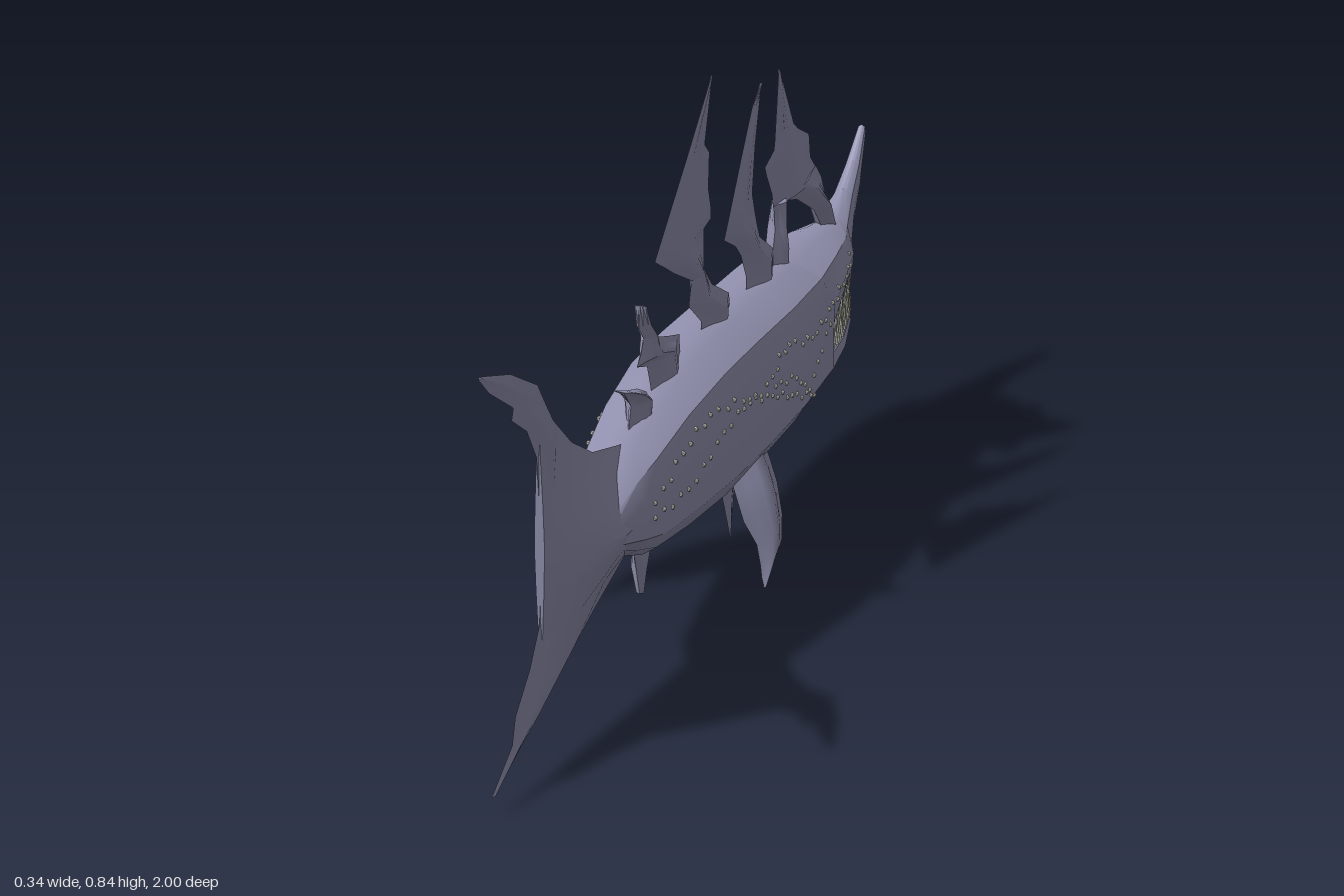
import * as THREE from 'three';
import { toCreasedNormals, mergeGeometries } from 'three/addons/utils/BufferGeometryUtils.js';

const skin = new THREE.MeshStandardMaterial({ color: 0x9090ae });
skin.name = 'blueGreySkin';
const bone = new THREE.MeshStandardMaterial({ color: 0xd8d8cc });
bone.name = 'ivoryBone';

// Half cross-sections, from top to bottom, as fractions of half width and half height
const ROUND = [[0, 1], [0.3, 0.97], [0.78, 0.8], [1, 0.4], [1, -0.5], [0.78, -0.78], [0.45, -0.95], [0, -1]];
const SNOUT = [[0, 1], [0.3, 0.93], [0.78, 0.565], [1, -0.3], [0.97, -1], [0, -1]];
const CHIN = [[0, 1], [0.96, 1], [1, 0.47], [0.78, -0.35], [0.45, -0.86], [0, -1]];
const BLADE = [[0, 1], [0.35, 0.6], [0.8, 0.25], [1, 0], [0.8, -0.25], [0.35, -0.6], [0, -1]];

// Stations: z, top, bottom, half width, running from tail to snout
const BODY = [
  [0.55, 0.305, 0.26, 0.04], [0.45, 0.355, 0.215, 0.064], [0.38, 0.375, 0.19, 0.075], [0.25, 0.41, 0.175, 0.09],
  [0.09, 0.43, 0.165, 0.103], [-0.07, 0.43, 0.16, 0.107], [-0.29, 0.42, 0.16, 0.107], [-0.47, 0.415, 0.165, 0.102],
];
const UPPER = [
  [-0.47, 0.415, 0.3, 0.102], [-0.6, 0.407, 0.335, 0.088], [-0.72, 0.4, 0.333, 0.066], [-0.8, 0.395, 0.333, 0.04],
  [-0.88, 0.425, 0.37, 0.022], [-0.94, 0.462, 0.42, 0.016], [-1, 0.512, 0.495, 0.008],
];
const LOWER = [
  [-0.47, 0.25, 0.165, 0.102], [-0.6, 0.24, 0.18, 0.086], [-0.72, 0.24, 0.205, 0.062], [-0.8, 0.262, 0.23, 0.036],
];
const TAIL = [
  [0.757, 0.6, 0.085, 0.008], [0.7, 0.53, 0.1, 0.02], [0.61, 0.46, 0.125, 0.038],
  [0.515, 0.41, 0.15, 0.054], [0.38, 0.375, 0.18, 0.06], [0.25, 0.38, 0.2, 0.05],
];

// Closed skin through a row of stations
function loft(stations, half, crease = 0.5) {
  const ring = [...half, ...half.slice(1, -1).reverse().map(([x, y]) => [-x, y])];
  const n = ring.length, pos = [], idx = [];
  for (const [z, top, bottom, w] of stations)
    for (const [x, y] of ring) pos.push(x * w, (top + bottom) / 2 + (y * (top - bottom)) / 2, z);
  const last = stations.length - 1;
  for (const s of [0, last]) pos.push(0, (stations[s][1] + stations[s][2]) / 2, stations[s][0]);
  const c0 = n * stations.length;
  for (let j = 0; j < n; j++) {
    const k = (j + 1) % n;
    for (let i = 0; i < last; i++) {
      const a = i * n + j, b = i * n + k;
      idx.push(a, b, a + n, b, b + n, a + n);
    }
    idx.push(c0, k, j, c0 + 1, last * n + j, last * n + k);
  }
  const g = new THREE.BufferGeometry();
  g.setAttribute('position', new THREE.Float32BufferAttribute(pos, 3));
  g.setIndex(idx);
  return toCreasedNormals(g, crease);
}

// Interpolated station at z
function at(stations, z) {
  let i = 0;
  while (i < stations.length - 2 && z < stations[i + 1][0]) i++;
  const a = stations[i], b = stations[i + 1];
  const t = THREE.MathUtils.clamp((z - a[0]) / (b[0] - a[0]), 0, 1);
  return a.map((v, k) => v + (b[k] - v) * t);
}

// Half width of the skin at z and height y
function sideX(stations, half, z, y) {
  const [, top, bottom, w] = at(stations, z);
  const v = (y - (top + bottom) / 2) / ((top - bottom) / 2);
  for (let i = 1; i < half.length; i++) {
    const [x0, y0] = half[i - 1], [x1, y1] = half[i];
    if (v >= y1) return w * (x0 + ((x1 - x0) * (v - y0)) / (y1 - y0));
  }
  return 0;
}

// Sharp-edged fin from slices [y, rear z, front z], top to bottom; thick(y) is half thickness
function fin(slices, thick, centre = () => 0) {
  const g = loft(slices.map(([y, rear, front]) => [y, rear, front, thick(y)]), BLADE, 0.6);
  const p = g.attributes.position;
  for (let i = 0; i < p.count; i++) {
    const x = p.getX(i), z = p.getY(i), y = p.getZ(i);
    p.setXYZ(i, centre(y) - x, y, z);
  }
  return toCreasedNormals(g, 0.6);
}

const FINS = {
  frontDorsalFin: [[0.755, -0.467, -0.472], [0.635, -0.445, -0.56], [0.62, -0.44, -0.585], [0.605, -0.387, -0.62],
    [0.59, -0.395, -0.655], [0.545, -0.43, -0.665], [0.513, -0.44, -0.705]],
  frontDorsalRearRoot: [[0.52, -0.44, -0.51], [0.475, -0.45, -0.477], [0.44, -0.438, -0.492], [0.39, -0.43, -0.5]],
  frontDorsalFrontRoot: [[0.52, -0.48, -0.7], [0.49, -0.585, -0.735], [0.44, -0.69, -0.768], [0.385, -0.75, -0.79]],
  secondDorsalFin: [[0.76, -0.36, -0.365], [0.73, -0.31, -0.355], [0.66, -0.25, -0.33], [0.58, -0.185, -0.315],
    [0.545, -0.155, -0.33], [0.515, -0.22, -0.345], [0.49, -0.25, -0.36], [0.445, -0.28, -0.44], [0.39, -0.28, -0.44]],
  tallDorsalFin: [[0.845, -0.085, -0.09], [0.74, 0.05, -0.05], [0.72, 0.077, -0.075], [0.66, 0.157, -0.07],
    [0.62, 0.21, -0.085], [0.605, 0.18, -0.085], [0.598, 0.165, -0.045], [0.57, 0.11, -0.045], [0.53, 0.02, -0.047],
    [0.49, 0.035, -0.09], [0.445, -0.03, -0.185], [0.39, -0.03, -0.19]],
  smallDorsalFin: [[0.57, 0.282, 0.277], [0.535, 0.29, 0.24], [0.51, 0.265, 0.215], [0.49, 0.28, 0.19],
    [0.475, 0.3, 0.14], [0.46, 0.25, 0.085], [0.39, 0.22, 0.075]],
  rearDorsalFin: [[0.455, 0.365, 0.355], [0.44, 0.35, 0.3], [0.42, 0.33, 0.255], [0.36, 0.35, 0.23]],
  bellyFin: [[0.18, -0.1, -0.295], [0.125, -0.13, -0.25], [0.09, -0.15, -0.22], [0.075, -0.158, -0.215], [0.005, -0.193, -0.197]],
  rearBellyFin: [[0.2, 0.33, 0.215], [0.135, 0.308, 0.28], [0.09, 0.292, 0.286]],
};
const TAIL_FIN = [[0.69, 1, 0.985], [0.655, 0.957, 0.87], [0.6, 0.86, 0.756], [0.583, 0.868, 0.742],
  [0.545, 0.805, 0.71], [0.49, 0.765, 0.66], [0.37, 0.75, 0.66], [0.225, 0.76, 0.66], [0.17, 0.805, 0.66],
  [0.12, 0.87, 0.64], [0.1, 0.878, 0.7], [0.08, 0.885, 0.77], [0.065, 0.915, 0.836], [0.035, 0.975, 0.955]];
const PECTORAL = [[0.235, 0.03, -0.14], [0.19, 0.07, -0.12], [0.155, 0.1, -0.09], [0.12, 0.105, -0.04],
  [0.097, 0.135, 0.015], [0.085, 0.155, 0.08], [0.073, 0.168, 0.16]];

// Wavy rows of spots along the flank, as (z, y) points
const SPOT_ROWS = [
  [[0.42, 0.3], [0.32, 0.34], [0.2, 0.365], [0.08, 0.355], [-0.02, 0.335], [-0.18, 0.36], [-0.32, 0.335], [-0.46, 0.345], [-0.68, 0.365]],
  [[0.42, 0.275], [0.28, 0.285], [0.18, 0.32], [0.06, 0.34], [-0.08, 0.31], [-0.2, 0.27], [-0.34, 0.225]],
  [[-0.1, 0.32], [-0.22, 0.295], [-0.3, 0.25], [-0.38, 0.29], [-0.44, 0.32]],
];

export function createModel() {
  const model = new THREE.Group();
  const add = (name, geometry, material = skin) => {
    const mesh = new THREE.Mesh(geometry, material);
    mesh.name = name;
    model.add(mesh);
  };
  const clamp01 = (v) => THREE.MathUtils.clamp(v, 0, 1);

  // Body, jaws and tail
  add('body', loft(BODY, ROUND));
  add('upperJaw', loft(UPPER, SNOUT));
  add('lowerJaw', loft(LOWER, CHIN));
  add('tailRoot', loft(TAIL, BLADE, 0.6));
  add('tailFin', fin(TAIL_FIN, (y) => 0.002 + 0.009 * (1 - clamp01(Math.abs(y - 0.34) / 0.34))));

  // Ragged fins along the back and belly, thick at the root
  for (const [name, slices] of Object.entries(FINS)) {
    const below = name.toLowerCase().includes('belly');
    const root = below ? 0.18 : 0.42, reach = below ? 0.17 : 0.4;
    add(name, fin(slices, (y) => 0.0015 + 0.022 * (1 - clamp01(Math.abs(y - root) / reach)) ** 2));
  }

  // Splayed pectoral fins
  for (const s of [1, -1])
    add(s > 0 ? 'leftPectoralFin' : 'rightPectoralFin', fin(PECTORAL,
      (y) => 0.002 + 0.026 * clamp01((y - 0.073) / 0.09),
      (y) => s * (0.17 - (y - 0.073) * 0.68)));

  // Interlocking teeth on both sides of the mouth
  const teeth = [];
  for (const s of [1, -1])
    for (let i = 0; i < 17; i++) {
      const z = -0.485 - i * 0.0185;
      const up = at(UPPER, z), low = at(LOWER, z - 0.009);
      const h = 0.066 + 0.008 * Math.sin(i * 2.3);
      teeth.push(new THREE.ConeGeometry(0.0075, h, 6).rotateX(Math.PI)
        .translate(s * up[3] * 0.88, up[2] + 0.012 - h / 2, z));
      teeth.push(new THREE.ConeGeometry(0.0075, h, 6)
        .translate(s * low[3] * 0.88, low[1] - 0.012 + h / 2, z - 0.009));
    }
  add('teeth', mergeGeometries(teeth), bone);

  // Small raised spots on both flanks, slightly scattered
  const spots = [];
  for (const row of SPOT_ROWS) {
    const curve = new THREE.CatmullRomCurve3(row.map(([z, y]) => new THREE.Vector3(0, y, z)));
    curve.getSpacedPoints(Math.round(curve.getLength() / 0.03)).forEach((p, i) => {
      const y = p.y + 0.005 * Math.sin(i * 2.4), z = p.z;
      const x = z < -0.47 ? sideX(UPPER, SNOUT, z, y) : sideX(BODY, ROUND, z, y);
      for (const s of [1, -1]) spots.push(new THREE.IcosahedronGeometry(0.0048, 0).translate(s * x, y, z));
    });
  }
  add('flankSpots', mergeGeometries(spots), bone);

  return model;
}
